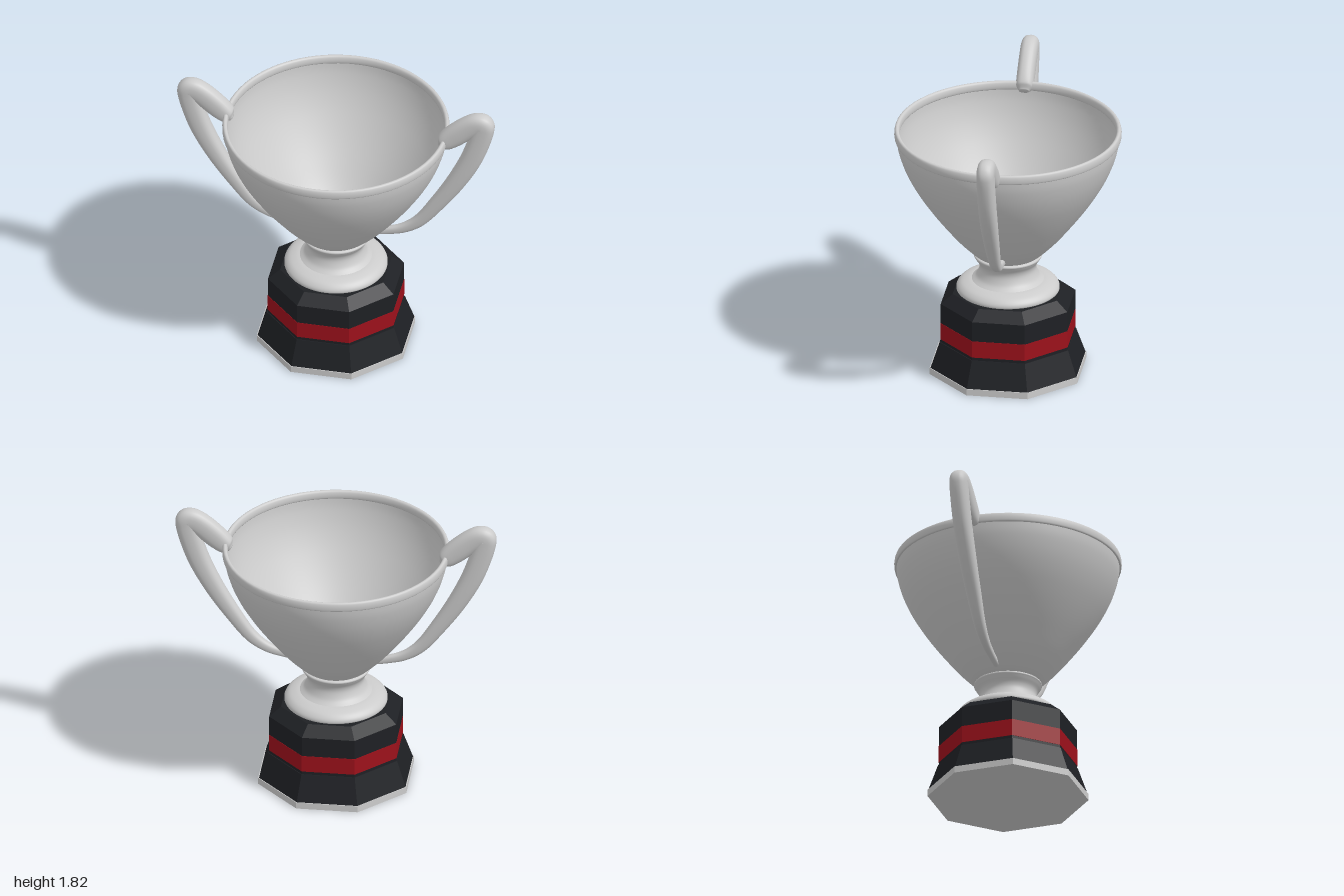
import * as THREE from 'three';

const mat = (color, extra = {}) =>
  new THREE.MeshStandardMaterial({ color, side: THREE.DoubleSide, ...extra });
const silver = mat(0xcccccc);
const plate = mat(0xcccccc, { flatShading: true });
const black = mat(0x1e2024, { flatShading: true });
const red = mat(0x9c111b, { flatShading: true });

function add(group, name, geometry, material) {
  const mesh = new THREE.Mesh(geometry, material);
  mesh.name = name;
  group.add(mesh);
  return mesh;
}

// Eight-sided block with a flat face to the front; radii are measured to the flats
function octagon(group, name, bottom, top, y0, y1, material) {
  const k = 1 / Math.cos(Math.PI / 8);
  const g = new THREE.CylinderGeometry(top * k, bottom * k, y1 - y0, 8);
  g.rotateY(Math.PI / 8).translate(0, (y0 + y1) / 2, 0);
  add(group, name, g, material);
}

// Turned part through [radius, height] points, smoothed by a spline
function turned(group, name, points, samples) {
  const curve = new THREE.SplineCurve(points.map(p => new THREE.Vector2(...p)));
  add(group, name, new THREE.LatheGeometry(curve.getPoints(samples), 72), silver);
}

// Tapering oval sweep; stations are [x, y, half width in plane, half depth in z]
function sweep(stations, steps, sides) {
  const path = new THREE.CatmullRomCurve3(
    stations.map(s => new THREE.Vector3(s[0], s[1], 0)), false, 'centripetal');
  const size = new THREE.SplineCurve(stations.map(s => new THREE.Vector2(s[2], s[3])));
  const pos = [], index = [];
  for (let i = 0; i <= steps; i++) {
    const t = i / steps, p = path.getPoint(t), d = path.getTangent(t), r = size.getPoint(t);
    for (let j = 0; j < sides; j++) {
      const a = (j / sides) * Math.PI * 2;
      // slightly squared oval
      const c = Math.sign(Math.cos(a)) * Math.abs(Math.cos(a)) ** 0.8 * r.x;
      const s = Math.sign(Math.sin(a)) * Math.abs(Math.sin(a)) ** 0.8 * r.y;
      pos.push(p.x - d.y * c, p.y + d.x * c, s);
      if (i < steps) {
        const k = (j + 1) % sides, A = i * sides + j, B = i * sides + k;
        index.push(A, B, A + sides, B, B + sides, A + sides);
      }
    }
  }
  // end caps
  for (const [i, flip] of [[0, true], [steps, false]]) {
    const p = path.getPoint(i / steps), centre = pos.length / 3;
    pos.push(p.x, p.y, 0);
    for (let j = 0; j < sides; j++) {
      const A = i * sides + j, B = i * sides + (j + 1) % sides;
      index.push(centre, flip ? B : A, flip ? A : B);
    }
  }
  const g = new THREE.BufferGeometry();
  g.setAttribute('position', new THREE.Float32BufferAttribute(pos, 3));
  g.setIndex(index);
  g.computeVertexNormals();
  return g;
}

export function createModel() {
  const cup = new THREE.Group();
  cup.name = 'trophyCup';

  // Octagonal plinth
  const plinth = new THREE.Group();
  plinth.name = 'plinth';
  cup.add(plinth);
  octagon(plinth, 'basePlate', 0.46, 0.46, 0, 0.042, plate);
  octagon(plinth, 'flaredBase', 0.455, 0.4, 0.042, 0.21, black);
  octagon(plinth, 'lowerBand', 0.395, 0.395, 0.21, 0.23, black);
  octagon(plinth, 'redBand', 0.397, 0.397, 0.23, 0.34, red);
  octagon(plinth, 'upperBlock', 0.395, 0.395, 0.34, 0.47, black);
  octagon(plinth, 'chamferedTop', 0.395, 0.325, 0.47, 0.53, black);

  // Foot, neck and collar
  turned(cup, 'foot', [[0.3, 0.53], [0.318, 0.537], [0.315, 0.56], [0.29, 0.585],
    [0.25, 0.6], [0.22, 0.605]], 20);
  turned(cup, 'neck', [[0.225, 0.603], [0.195, 0.63], [0.177, 0.675], [0.18, 0.71],
    [0.198, 0.74], [0.207, 0.755]], 24);
  turned(cup, 'collar', [[0.205, 0.753], [0.21, 0.76], [0.207, 0.77], [0.19, 0.775]], 10);

  // Bowl with a shallow dished floor
  turned(cup, 'bowl', [[0.19, 0.77], [0.23, 0.802], [0.32, 0.895], [0.405, 1.0], [0.48, 1.1],
    [0.547, 1.2], [0.605, 1.3], [0.65, 1.4], [0.68, 1.5], [0.69, 1.58]], 40);
  turned(cup, 'bowlFloor', [[0, 0.75], [0.08, 0.754], [0.15, 0.766], [0.19, 0.772]], 12);
  turned(cup, 'rim', [[0.688, 1.563], [0.699, 1.566], [0.702, 1.592], [0.697, 1.615],
    [0.685, 1.621], [0.673, 1.613], [0.668, 1.59], [0.672, 1.568], [0.688, 1.563]], 32);

  // Two mirrored handles, each folding over above the rim
  for (const [side, name] of [[1, 'leftHandle'], [-1, 'rightHandle']]) {
    const g = sweep([
      [0.655, 1.567, 0.02, 0.03], [0.68, 1.585, 0.056, 0.052], [0.745, 1.64, 0.072, 0.055],
      [0.84, 1.72, 0.073, 0.055], [0.895, 1.751, 0.071, 0.055], [0.925, 1.748, 0.07, 0.055],
      [0.925, 1.71, 0.07, 0.055], [0.862, 1.5, 0.068, 0.055], [0.765, 1.3, 0.06, 0.052],
      [0.64, 1.1, 0.049, 0.044], [0.52, 0.94, 0.039, 0.034], [0.42, 0.87, 0.031, 0.027],
      [0.32, 0.838, 0.026, 0.022], [0.215, 0.815, 0.022, 0.02],
    ], 96, 24);
    const handle = add(cup, name, g, silver);
    if (side < 0) handle.rotation.y = Math.PI;
  }
  return cup;
}
